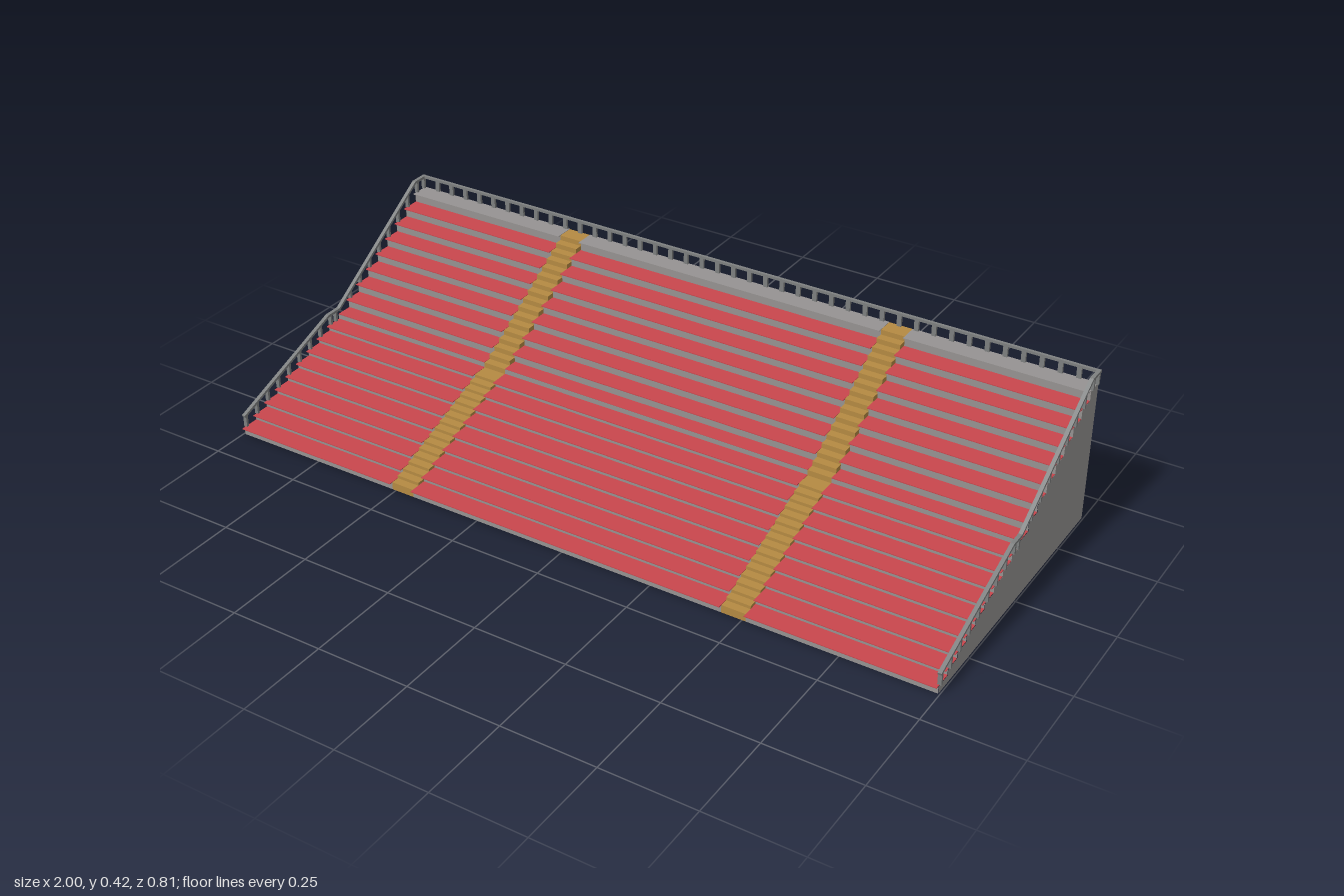
import * as THREE from 'three';

const mat = (name, color) => {
  const m = new THREE.MeshStandardMaterial({ color, side: THREE.DoubleSide });
  m.name = name;
  return m;
};

export function createModel() {
  const root = new THREE.Group();
  root.name = 'grandstand';
  const grey = mat('concrete grey', 0x969392);
  const red = mat('seat red', 0xc9464d);
  const tan = mat('aisle tan', 0xb58a42);
  const steel = mat('rail grey', 0x7e8080);

  const add = (parent, name, geo, material, x = 0, y = 0, z = 0) => {
    const m = new THREE.Mesh(geo, material);
    m.name = name;
    m.position.set(x, y, z);
    parent.add(m);
    return m;
  };
  const group = (name) => {
    const g = new THREE.Group();
    g.name = name;
    root.add(g);
    return g;
  };

  // Two tiers of nine rows each; the upper one is steeper
  const ROWS = 9, RUN = 0.0447, BACK = -0.403;
  const tiers = [
    { name: 'lower', front: 0.4, base: 0.021, rise: 0.0168 },
    { name: 'upper', front: 0, base: 0.17, rise: 0.0269 },
  ];
  const rowFront = (t, i) => t.front - i * RUN;
  const rowTop = (t, i) => t.base + i * t.rise;
  const tierBack = (t) => t.front - ROWS * RUN;

  // Stepped side profile drawn in (z, y); sub = steps per row
  const profile = (t, sub) => {
    const s = new THREE.Shape();
    s.moveTo(t.front, 0);
    for (let i = 0; i < ROWS; i++) {
      for (let k = 0; k < sub; k++) {
        const last = i === ROWS - 1;
        const y = rowTop(t, i) + (last ? 0 : (k / sub) * t.rise);
        s.lineTo(rowFront(t, i) - (k / sub) * RUN, y);
        s.lineTo(rowFront(t, i) - ((k + 1) / sub) * RUN, y);
      }
    }
    s.lineTo(tierBack(t), 0);
    return s;
  };

  // Seating blocks between the aisles: risers, red treads and back wall
  const blocks = [[-0.995, -0.51], [-0.445, 0.445], [0.51, 0.995]];
  const seating = group('seating');
  for (const [x0, x1] of blocks) {
    const w = x1 - x0, cx = (x0 + x1) / 2;
    for (const t of tiers) {
      for (let i = 0; i < ROWS; i++) {
        const z = rowFront(t, i), y = rowTop(t, i);
        const low = i ? rowTop(t, i - 1) : 0;
        add(seating, 'riser', new THREE.PlaneGeometry(w, y - low), grey, cx, (y + low) / 2, z);
        const topRow = t.name === 'upper' && i === ROWS - 1;
        const lip = t.name === 'upper' && i === 0 ? 0 : 0.01;
        add(seating, topRow ? 'topWalkway' : 'seatTread', new THREE.BoxGeometry(w, 0.002, RUN + lip),
          topRow ? grey : red, cx, y, z - RUN / 2 + lip / 2);
      }
    }
    const top = rowTop(tiers[1], ROWS - 1);
    add(seating, 'backWall', new THREE.PlaneGeometry(w, top).rotateY(Math.PI), grey, cx, top / 2, BACK);
  }

  // Stepped end walls
  for (const side of [-1, 1]) {
    for (const t of tiers) {
      const geo = new THREE.ShapeGeometry(profile(t, 1)).rotateY(-Math.PI / 2);
      add(root, t.name + 'EndWall', geo, grey, side * 0.996);
    }
  }

  // Two solid aisle stairs with half-height steps
  const AISLE = 0.065;
  for (const x of [-0.4775, 0.4775]) {
    for (const t of tiers) {
      const geo = new THREE.ExtrudeGeometry(profile(t, 2), { depth: AISLE, bevelEnabled: false });
      geo.rotateY(-Math.PI / 2);
      add(root, t.name + 'AisleStair', geo, tan, x + AISLE / 2);
    }
  }

  // Side handrails following both slopes
  const path = [[0.398, 0.054], [0.045, 0.186], [0, 0.186], [-0.355, 0.419], [-0.402, 0.419]];
  const railY = (z) => {
    for (let i = 0; i < path.length - 1; i++) {
      const [za, ya] = path[i], [zb, yb] = path[i + 1];
      if (z >= zb) return ya + ((za - z) / (za - zb)) * (yb - ya);
    }
    return 0.419;
  };
  for (const side of [-1, 1]) {
    const rail = group(side > 0 ? 'leftHandrail' : 'rightHandrail');
    const x = side * 0.995;
    for (let i = 0; i < path.length - 1; i++) {
      const [za, ya] = path[i], [zb, yb] = path[i + 1];
      const len = Math.hypot(za - zb, ya - yb);
      const bar = add(rail, 'handrailBar', new THREE.BoxGeometry(0.01, 0.007, len + 0.003), steel,
        x, (ya + yb) / 2, (za + zb) / 2);
      bar.rotation.x = Math.atan2(yb - ya, za - zb);
    }
    const post = (z, y) => {
      const h = railY(z) - y;
      add(rail, 'handrailPost', new THREE.BoxGeometry(0.01, h, 0.007), steel, x, y + h / 2, z);
    };
    for (const t of tiers) {
      for (let i = 0; i < ROWS; i++) {
        if (t.name === 'upper' && i === 0) continue;
        post(rowFront(t, i) - 0.007, rowTop(t, i));
      }
    }
    post(0.014, rowTop(tiers[0], ROWS - 1));
    post(-0.396, rowTop(tiers[1], ROWS - 1));
  }

  // Rear guard rail along the top walkway
  const rear = group('rearGuardRail');
  const deck = rowTop(tiers[1], ROWS - 1);
  add(rear, 'rearRailBar', new THREE.BoxGeometry(2, 0.007, 0.008), steel, 0, 0.419, -0.399);
  for (let i = 1; i < 42; i++) {
    add(rear, 'rearRailPost', new THREE.BoxGeometry(0.012, 0.419 - deck, 0.007), steel,
      -0.995 + (i * 1.99) / 42, (0.419 + deck) / 2, -0.399);
  }
  return root;
}
